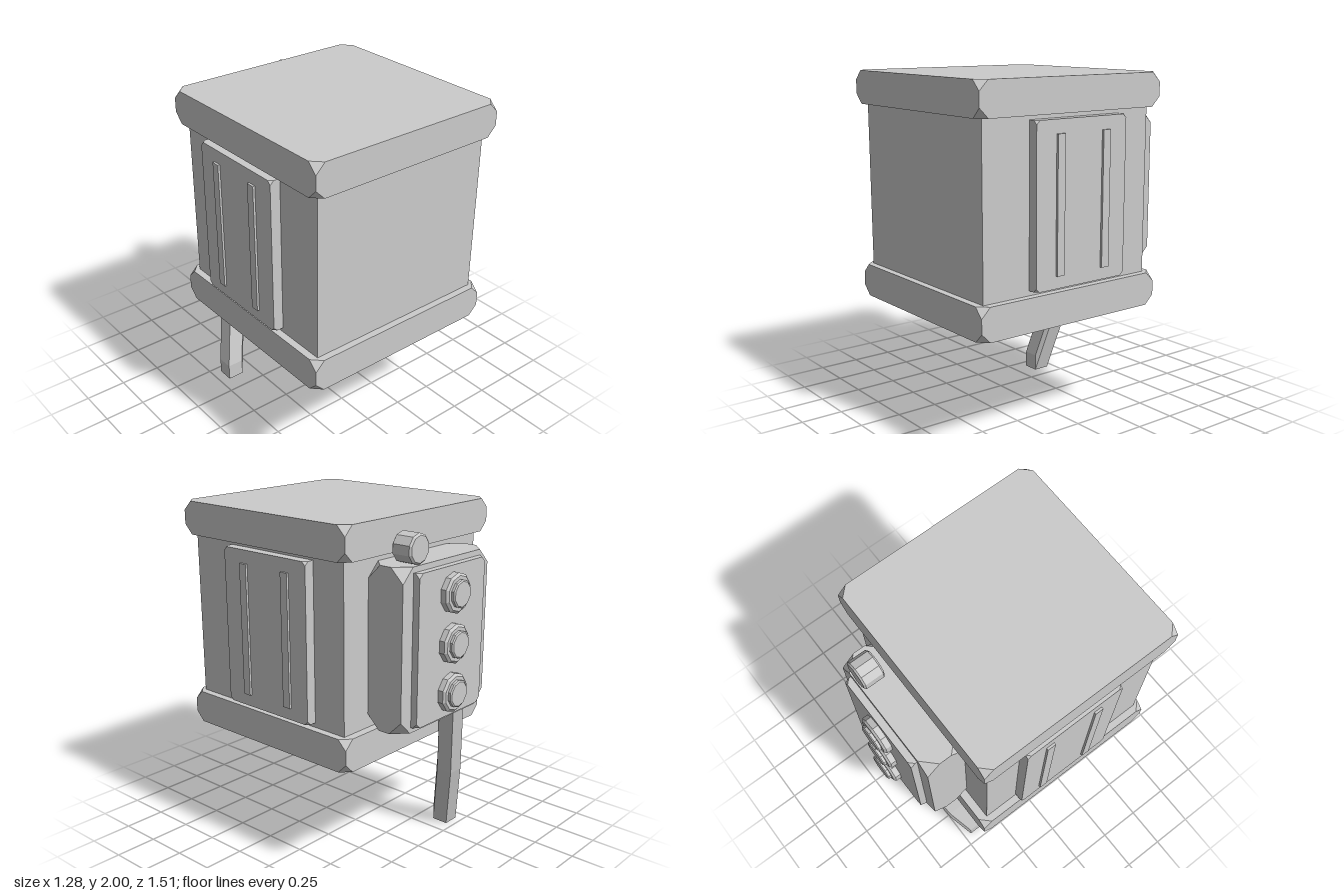
import * as THREE from 'three';
import { ConvexGeometry } from 'three/addons/geometries/ConvexGeometry.js';

const material = new THREE.MeshStandardMaterial({ color: 0xcccccc, flatShading: true });

// Corner points of a box given as [min, max] ranges; a cut above 0 slices off each corner.
function boxPoints(xr, yr, zr, cut = 0) {
  const points = [];
  for (const i of [0, 1]) for (const j of [0, 1]) for (const k of [0, 1]) {
    const corner = new THREE.Vector3(xr[i], yr[j], zr[k]);
    if (!cut) { points.push(corner); continue; }
    const inward = [1 - 2 * i, 1 - 2 * j, 1 - 2 * k];
    inward.forEach((s, axis) => {
      const p = corner.clone();
      p.setComponent(axis, p.getComponent(axis) + s * cut);
      points.push(p);
    });
  }
  return points;
}

export function createModel() {
  const group = new THREE.Group();

  const add = (name, geometry) => {
    const mesh = new THREE.Mesh(geometry, material);
    mesh.name = name;
    group.add(mesh);
    return mesh;
  };
  const cutBox = (name, xr, yr, zr, cut) => add(name, new ConvexGeometry(boxPoints(xr, yr, zr, cut)));

  // Turned part whose axis points to the back; profile is [radius, depth] pairs
  const turned = (name, profile, x, y, z) => {
    const points = profile.map(([r, d]) => new THREE.Vector2(r, d));
    const mesh = add(name, new THREE.LatheGeometry(points, 10));
    mesh.rotation.x = -Math.PI / 2;
    mesh.position.set(x, y, z);
  };

  // Main case
  cutBox('body', [-0.565, 0.565], [0.8, 1.87], [-0.42, 0.71], 0);
  cutBox('lid', [-0.612, 0.612], [1.81, 2], [-0.472, 0.755], 0.055);
  cutBox('base', [-0.607, 0.607], [0.667, 0.858], [-0.468, 0.75], 0.055);

  // Side panels with two raised bars each
  for (const [side, s] of [['left', 1], ['right', -1]]) {
    const range = (a, b) => [Math.min(s * a, s * b), Math.max(s * a, s * b)];
    cutBox(side + 'Panel', range(0.54, 0.625), [0.885, 1.785], [-0.208, 0.412], 0.022);
    for (const z of [0.255, -0.06]) {
      cutBox(side + 'PanelBar', range(0.6, 0.638), [0.955, 1.71], [z - 0.025, z + 0.025], 0);
    }
  }

  // Control box on the back
  cutBox('controlBox', [-0.375, 0.375], [0.86, 1.77], [-0.65, -0.418], 0.08);
  cutBox('controlPlate', [-0.29, 0.29], [0.892, 1.738], [-0.69, -0.62], 0.028);

  // Buttons: a bevelled collar with a smaller cap
  for (const y of [1.03, 1.31, 1.59]) {
    turned('buttonCollar', [[0, -0.01], [0.112, -0.01], [0.112, 0.033], [0.098, 0.045], [0, 0.045]], 0, y, -0.69);
    turned('buttonCap', [[0, 0.03], [0.078, 0.03], [0.078, 0.06], [0.07, 0.066], [0, 0.066]], 0, y, -0.69);
  }

  // Knob resting on top of the control box
  turned('knob', [[0, 0], [0.073, 0], [0.084, 0.01], [0.084, 0.117], [0.073, 0.127], [0, 0.127]], 0.23, 1.85, -0.517);

  // Bent cable: a small cube swept along a path
  const path = [[-0.39, 0.05, -0.405], [-0.3, 0.45, -0.49], [-0.215, 0.93, -0.553]];
  const cubeAt = (p) => boxPoints(...p.map((v) => [v - 0.05, v + 0.05]));
  for (let i = 0; i < path.length - 1; i++) {
    add('cableSegment', new ConvexGeometry([...cubeAt(path[i]), ...cubeAt(path[i + 1])]));
  }

  return group;
}
